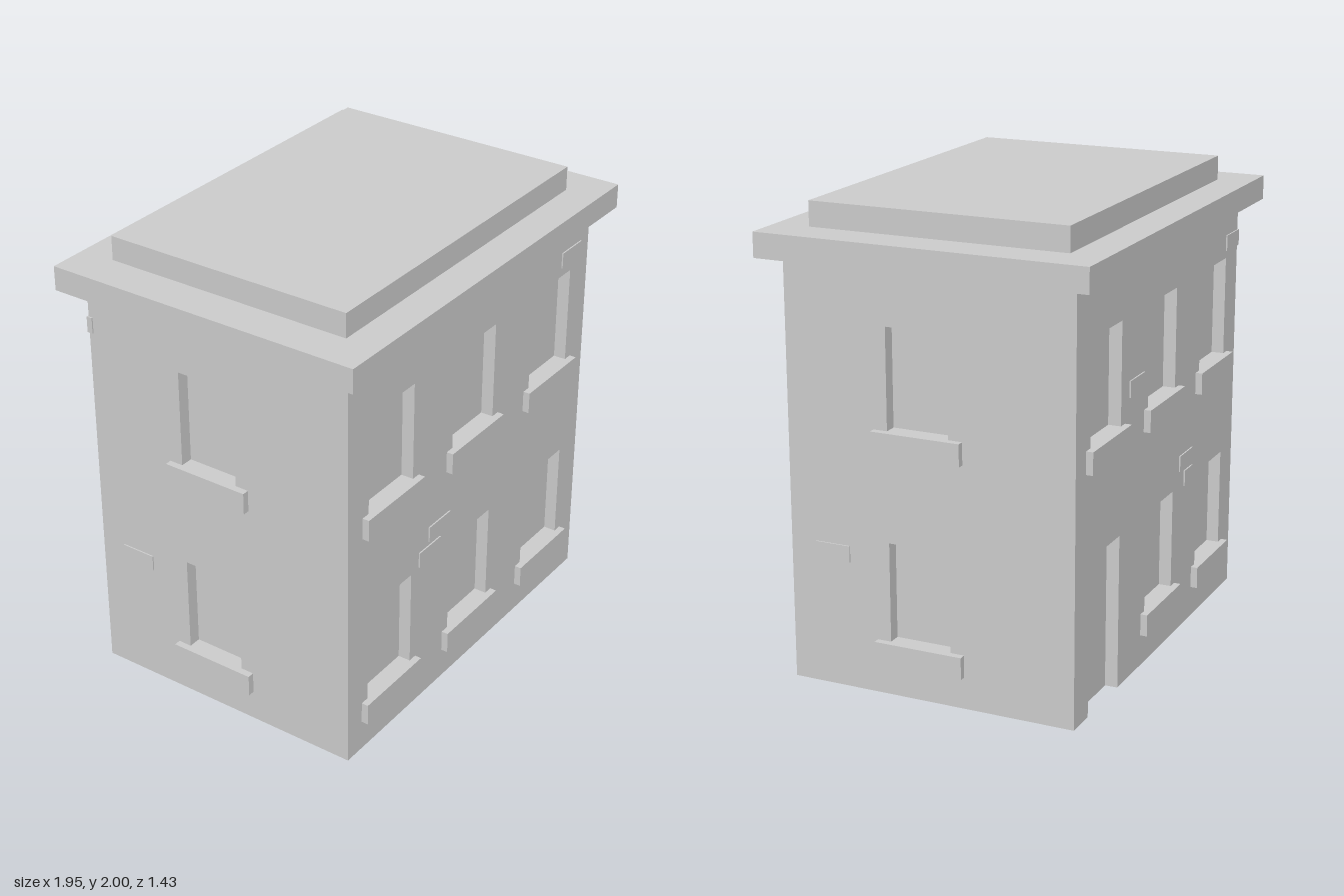
import * as THREE from 'three';
import { mergeGeometries } from 'three/addons/utils/BufferGeometryUtils.js';

const solid = new THREE.MeshStandardMaterial({ color: 0xcccccc, flatShading: true });
const thin = new THREE.MeshStandardMaterial({ color: 0xcccccc, flatShading: true, side: THREE.DoubleSide });
const HALF_W = 0.89, HALF_D = 0.63, WALL_H = 1.8, RECESS = 0.055;

function mesh(name, geometry, material = solid) {
  const m = new THREE.Mesh(geometry, material);
  m.name = name;
  return m;
}

// Box given by its minimum and maximum corners
function block(name, x0, x1, y0, y1, z0, z1) {
  const g = new THREE.BoxGeometry(x1 - x0, y1 - y0, z1 - z0);
  g.translate((x0 + x1) / 2, (y0 + y1) / 2, (z0 + z1) / 2);
  return mesh(name, g);
}

// Jambs, head and pane set back behind an opening in the wall plane z = 0
function recess(name, x0, x1, y0, y1) {
  const w = x1 - x0, h = y1 - y0, cx = (x0 + x1) / 2, cy = (y0 + y1) / 2;
  const parts = [
    new THREE.PlaneGeometry(w, h).translate(cx, cy, -RECESS),
    new THREE.PlaneGeometry(RECESS, h).rotateY(Math.PI / 2).translate(x0, cy, -RECESS / 2),
    new THREE.PlaneGeometry(RECESS, h).rotateY(-Math.PI / 2).translate(x1, cy, -RECESS / 2),
    new THREE.PlaneGeometry(w, RECESS).rotateX(Math.PI / 2).translate(cx, y1, -RECESS / 2),
  ];
  return mesh(name, mergeGeometries(parts), thin);
}

// One wall facing +z in its own frame, with windows, an optional door and loose bricks
function facade(name, half, windows, bricks, door) {
  const group = new THREE.Group();
  group.name = name;
  const outline = [[-half, 0]];
  if (door) outline.push([door.x0, 0], [door.x0, door.top], [door.x1, door.top], [door.x1, 0]);
  outline.push([half, 0], [half, WALL_H], [-half, WALL_H]);
  const wall = new THREE.Shape(outline.map(([x, y]) => new THREE.Vector2(x, y)));

  for (const { x, w, sillY, top } of windows) {
    const x0 = x - w / 2, x1 = x + w / 2, y0 = sillY + 0.02;
    wall.holes.push(new THREE.Path([[x0, y0], [x0, top], [x1, top], [x1, y0]]
      .map(([a, b]) => new THREE.Vector2(a, b))));
    group.add(recess('window', x0, x1, y0, top));
    group.add(block('windowSill', x - 0.195, x + 0.195, sillY, sillY + 0.095, -0.14, 0.03));
  }
  if (door) {
    group.add(recess('door', door.x0, door.x1, 0, door.top));
    group.add(block('doorHandle', door.x0 + 0.02, door.x0 + 0.05, 0.27, 0.32, -RECESS, -0.025));
  }
  for (const [x0, x1, y] of bricks) {
    group.add(block('brick', x0, x1, y, y + 0.07, -0.02, 0.006));
  }
  group.add(mesh('wall', new THREE.ShapeGeometry(wall), thin));
  return group;
}

export function createModel() {
  const building = new THREE.Group();
  building.name = 'building';

  const columns = [-0.598, -0.003, 0.595];
  const longWindow = (x, row) => ({ x, w: 0.308, sillY: 0.137 + row * 0.895, top: 0.665 + row * 0.895 });
  const upper = columns.map((x) => longWindow(x, 1));
  const lower = columns.map((x) => longWindow(x, 0));

  // Front wall
  const front = facade('frontWall', HALF_W, [...upper, ...lower],
    [[0.67, 0.825, 1.6], [-0.32, -0.165, 0.76], [-0.39, -0.235, 0.672]]);
  front.position.z = HALF_D;

  // Back wall, with the door in place of one lower window
  const back = facade('backWall', HALF_W, [...upper, ...lower.slice(1)],
    [[0.745, 0.896, 1.592], [-0.36, -0.205, 1.222], [0.22, 0.37, 0.732], [0.28, 0.37, 0.65]],
    { x0: -0.752, x1: -0.444, top: 0.665 });
  back.position.z = -HALF_D;
  back.rotation.y = Math.PI;

  // Side walls, one being the other turned half round
  const sideWindows = [0, 1].map((row) => (
    { x: -0.045, w: 0.27, sillY: 0.137 + row * 0.895, top: 0.657 + row * 0.895 }));
  for (const side of [1, -1]) {
    const wall = facade(side > 0 ? 'leftWall' : 'rightWall', HALF_D, sideWindows, [[-0.515, -0.36, 0.547]]);
    wall.position.x = side * HALF_W;
    wall.rotation.y = side * Math.PI / 2;
    building.add(wall);
  }

  building.add(front, back,
    block('cornice', -0.977, 0.973, 1.79, 1.895, -0.715, 0.713),
    block('roofSlab', -0.803, 0.8, 1.895, 2, -0.562, 0.56));
  return building;
}
